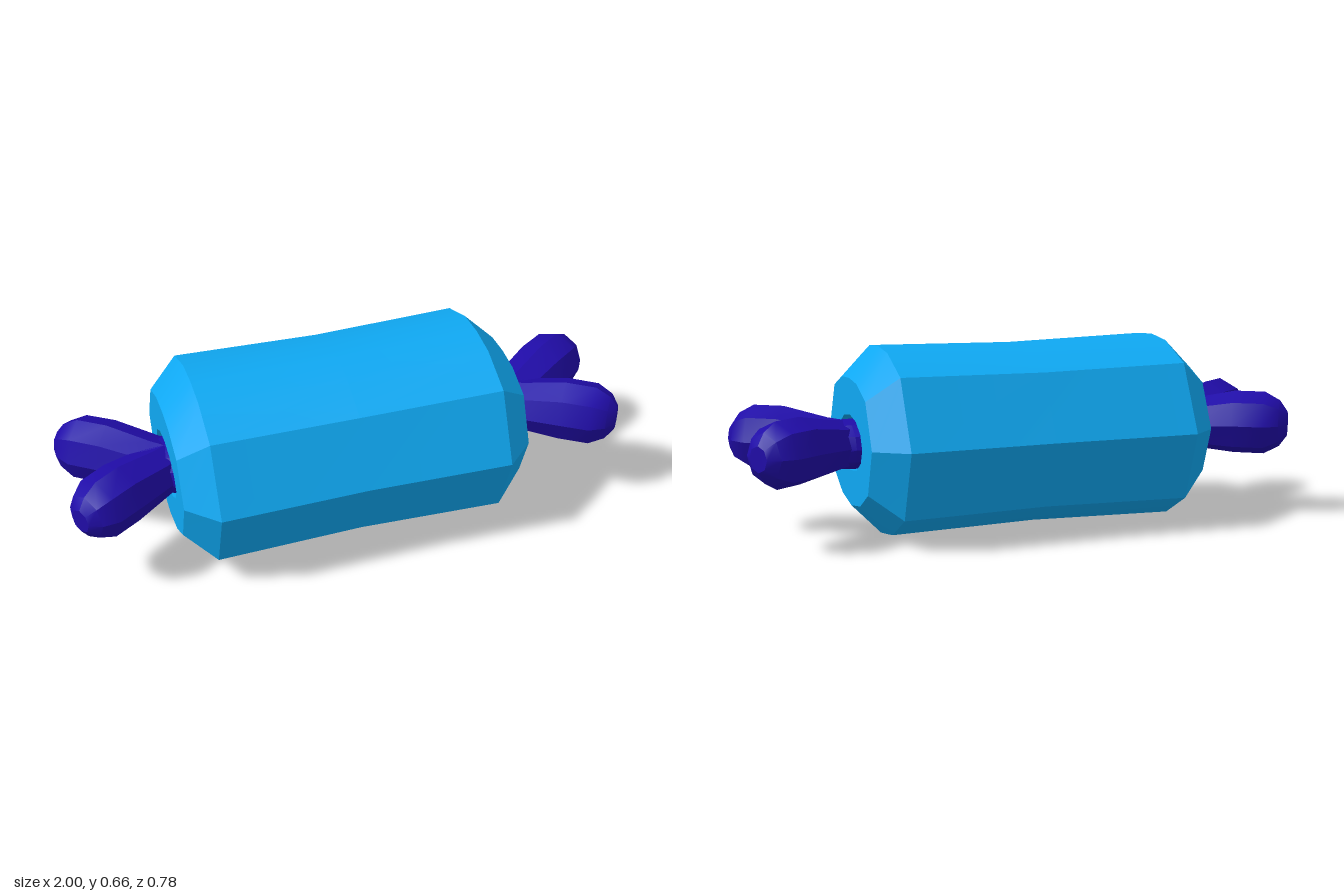
import * as THREE from 'three';
import { toCreasedNormals } from 'three/addons/utils/BufferGeometryUtils.js';

// Skins rings of points that run along +x; either closed back to the first ring or capped.
function loft(rings, joined) {
  const n = rings[0].length;
  const pos = rings.flat().flatMap(p => [p.x, p.y, p.z]);
  const index = [];
  const last = joined ? rings.length : rings.length - 1;
  for (let r = 0; r < last; r++) {
    const a = r * n, b = ((r + 1) % rings.length) * n;
    for (let i = 0; i < n; i++) {
      const j = (i + 1) % n;
      index.push(a + i, a + j, b + i, a + j, b + j, b + i);
    }
  }
  if (!joined) {
    const e = (rings.length - 1) * n;
    for (let i = 1; i < n - 1; i++) index.push(0, i + 1, i, e, e + i, e + i + 1);
  }
  const g = new THREE.BufferGeometry();
  g.setAttribute('position', new THREE.Float32BufferAttribute(pos, 3));
  g.setIndex(index);
  return toCreasedNormals(g, 0.5);
}

// Elliptical ring in the yz plane, starting at the top.
function ellipse(x, y, ry, rz, sides) {
  return Array.from({ length: sides }, (_, i) => {
    const a = (i / sides) * Math.PI * 2;
    return new THREE.Vector3(x, y + Math.cos(a) * ry, Math.sin(a) * rz);
  });
}

// Mirrors a half profile of [z, y] pairs into a full ring, scaled about the middle height.
function profileRing(x, half, s = 1) {
  const mirrored = half.slice(1, -1).reverse().map(([z, y]) => [-z, y]);
  return [...half, ...mirrored].map(([z, y]) =>
    new THREE.Vector3(x, 0.33 + (y - 0.33) * s, z * s));
}

export function createModel() {
  const model = new THREE.Group();
  const blue = new THREE.MeshStandardMaterial({ color: 0x0fa8f2 });
  const indigo = new THREE.MeshStandardMaterial({ color: 0x200ca8 });

  const add = (name, geometry, material, parent) => {
    const mesh = new THREE.Mesh(geometry, material);
    mesh.name = name;
    parent.add(mesh);
    return mesh;
  };

  // Hollow wrap: chamfered ends, slight waist, oval bore right through
  const outer = [[0, 0.66], [0.115, 0.65], [0.27, 0.587], [0.39, 0.353],
    [0.3, 0.108], [0.148, 0.025], [0, 0]];
  const end = [[0, 0.555], [0.1, 0.547], [0.21, 0.503], [0.285, 0.347],
    [0.225, 0.187], [0.12, 0.128], [0, 0.107]];
  const bore = x => ellipse(x, 0.33, 0.098, 0.16, 12);
  add('wrap', loft([
    bore(-0.635), profileRing(-0.635, end), profileRing(-0.53, outer),
    profileRing(-0.01, outer, 0.965),
    profileRing(0.505, outer), profileRing(0.61, end), bore(0.61),
  ], true), blue, model);

  // Bone: an oval shaft with two splayed knobs at each end
  const bone = new THREE.Group();
  bone.name = 'bone';
  model.add(bone);
  const shaft = [[-0.76, 0.075, 0.05], [-0.62, 0.088, 0.13], [0, 0.08, 0.11],
    [0.62, 0.088, 0.13], [0.76, 0.075, 0.05]];
  add('boneShaft', loft(shaft.map(([x, ry, rz]) => ellipse(x, 0.325, ry, rz, 12))), indigo, bone);

  // Knob sections: distance along the axis, height, half height, half width
  const knob = [[-0.3, 0.325, 0.08, 0.08], [-0.19, 0.327, 0.09, 0.1], [-0.03, 0.336, 0.115, 0.11],
    [0.08, 0.336, 0.115, 0.108], [0.135, 0.336, 0.085, 0.08], [0.163, 0.336, 0.045, 0.04]];
  const knobGeometry = loft(knob.map(([x, y, ry, rz]) => ellipse(x, y, ry, rz, 8)));
  for (const sx of [1, -1]) {
    for (const sz of [1, -1]) {
      const mesh = add(`${sx > 0 ? 'left' : 'right'}${sz > 0 ? 'Front' : 'Back'}Knob`,
        knobGeometry, indigo, bone);
      mesh.position.set(sx * 0.84, 0, sz * 0.135);
      mesh.rotation.y = Math.atan2(-sz * 0.55, sx * 0.83);
    }
  }
  return model;
}
